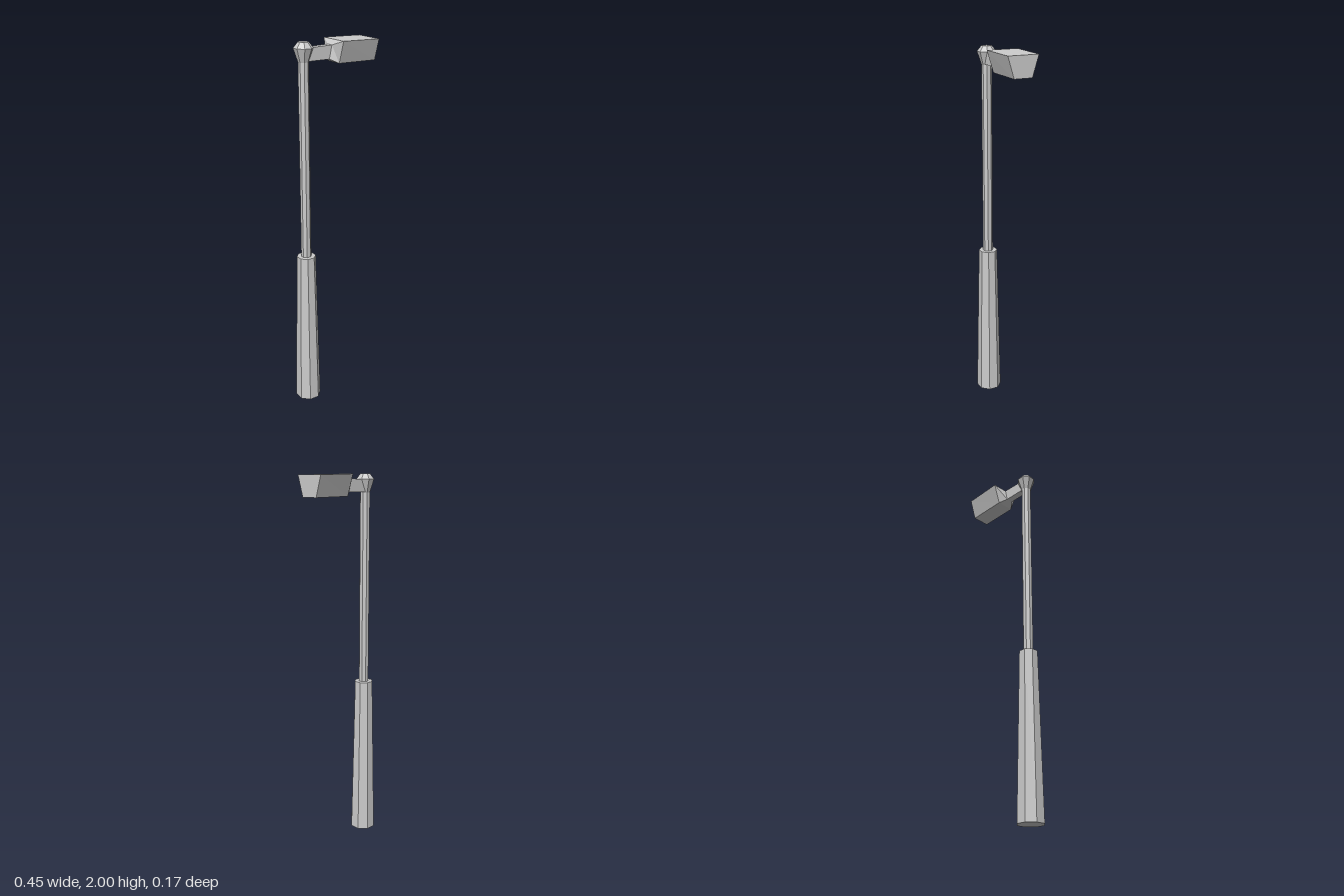
import * as THREE from 'three';

const POLE_X = -0.163;
const MID_Z = -0.002;

// Octagonal turned part; profile is [distance to flat side, height], bottom to top
function octagon(name, profile, material) {
  const k = 1 / Math.cos(Math.PI / 8);
  const points = profile.map(([r, y]) => new THREE.Vector2(r * k, y));
  const mesh = new THREE.Mesh(new THREE.LatheGeometry(points, 8, Math.PI / 8), material);
  mesh.name = name;
  mesh.position.set(POLE_X, 0, MID_Z);
  return mesh;
}

// Closed loft along +x through four-cornered sections:
// [xBottom, yBottom, halfBottom, xTop, yTop, halfTop]
function loft(name, sections, material) {
  const positions = [];
  const index = [];
  for (const [xb, yb, hb, xt, yt, ht] of sections) {
    positions.push(xb, yb, hb, xb, yb, -hb, xt, yt, -ht, xt, yt, ht);
  }
  for (let s = 0; s < sections.length - 1; s++) {
    for (let i = 0; i < 4; i++) {
      const a = s * 4 + i, b = s * 4 + (i + 1) % 4;
      index.push(a, b, b + 4, a, b + 4, a + 4);
    }
  }
  const e = (sections.length - 1) * 4;
  index.push(0, 2, 1, 0, 3, 2, e, e + 1, e + 2, e, e + 2, e + 3);
  const geometry = new THREE.BufferGeometry();
  geometry.setAttribute('position', new THREE.Float32BufferAttribute(positions, 3));
  geometry.setIndex(index);
  geometry.computeVertexNormals();
  const mesh = new THREE.Mesh(geometry, material);
  mesh.name = name;
  mesh.position.z = MID_Z;
  return mesh;
}

export function createModel() {
  const material = new THREE.MeshStandardMaterial({ color: 0xcccccc, flatShading: true });
  const model = new THREE.Group();
  model.name = 'streetLamp';

  // Tapered foot with a flat shoulder, slim pole, and faceted knob on top
  model.add(octagon('base', [[0, 0], [0.065, 0], [0.047, 0.88], [0, 0.88]], material));
  model.add(octagon('pole', [[0.025, 0.88], [0.025, 1.905]], material));
  model.add(octagon('cap', [[0.025, 1.905], [0.046, 1.972], [0.025, 2], [0, 2]], material));

  // Side arm ending in a slanted neck
  const neck = [-0.026, 1.908, 0.019, -0.011, 1.975, 0.019];
  model.add(loft('arm', [[-0.15, 1.908, 0.019, -0.13, 1.972, 0.019], neck], material));

  // Lamp head: flared neck into a box that is narrower underneath
  model.add(loft('lampHead', [
    neck,
    [0.012, 1.888, 0.049, 0.012, 1.998, 0.085],
    [0.227, 1.885, 0.049, 0.227, 1.993, 0.083],
  ], material));

  return model;
}
